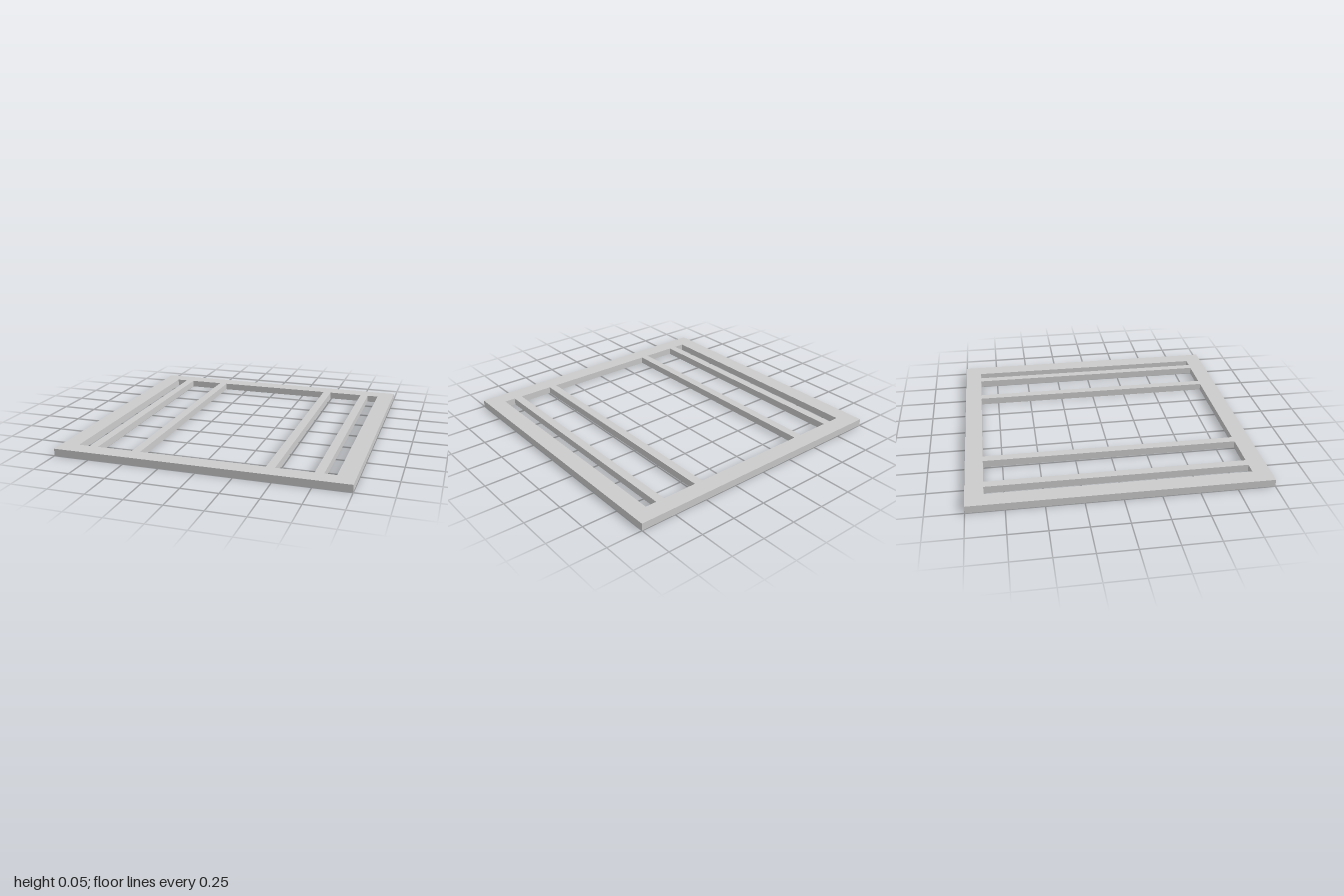
import * as THREE from 'three';

const HEIGHT = 0.05, OUTER = 1, INNER = 0.88, BAR_WIDTH = 0.06;

// Rectangle corners in the ground plane
const rect = (Type, h) => {
  const r = new Type();
  r.moveTo(-h, -h);
  r.lineTo(h, -h);
  r.lineTo(h, h);
  r.lineTo(-h, h);
  r.closePath();
  return r;
};

export function createModel() {
  const model = new THREE.Group();
  model.name = 'barredFrame';
  const material = new THREE.MeshStandardMaterial({ color: 0xcccccc });

  // Square frame with one large opening, laid flat
  const outline = rect(THREE.Shape, OUTER);
  outline.holes.push(rect(THREE.Path, INNER));
  const frameGeometry = new THREE.ExtrudeGeometry(outline, { depth: HEIGHT, bevelEnabled: false });
  frameGeometry.rotateX(-Math.PI / 2);
  const frame = new THREE.Mesh(frameGeometry, material);
  frame.name = 'frame';
  model.add(frame);

  // Two bars on each side, running front to back between the rails
  const barGeometry = new THREE.BoxGeometry(BAR_WIDTH, HEIGHT, INNER * 2);
  for (const [side, sign] of [['left', 1], ['right', -1]]) {
    for (const [place, x] of [['Inner', 0.46], ['Outer', 0.77]]) {
      const bar = new THREE.Mesh(barGeometry, material);
      bar.name = `${side}${place}Bar`;
      bar.position.set(sign * x, HEIGHT / 2, 0);
      model.add(bar);
    }
  }
  return model;
}
